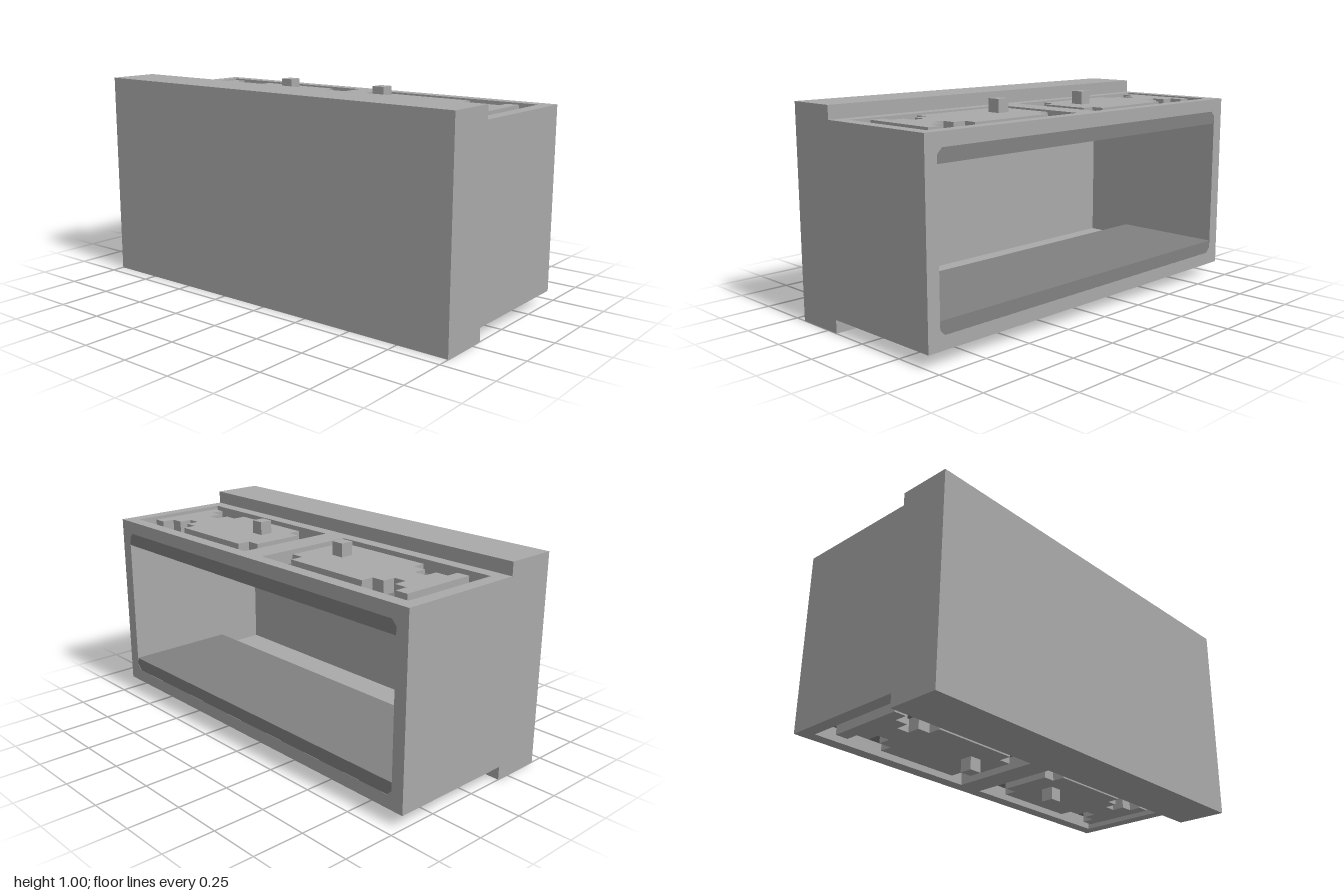
import * as THREE from 'three';

const U = 1 / 16; // everything is laid out on a 1/16 grid

export function createModel() {
  const model = new THREE.Group();
  const shellGrey = new THREE.MeshStandardMaterial({ name: 'shellGrey', color: 0xa9a9a9 });
  const darkGrey = new THREE.MeshStandardMaterial({ name: 'darkGrey', color: 0x818181 });

  const add = (name, geometry, material = shellGrey) => {
    geometry.scale(U, U, U);
    const mesh = new THREE.Mesh(geometry, material);
    mesh.name = name;
    model.add(mesh);
  };
  const box = (name, x0, x1, y0, y1, z0, z1, material) => {
    const g = new THREE.BoxGeometry(x1 - x0, y1 - y0, z1 - z0);
    g.translate((x0 + x1) / 2, (y0 + y1) / 2, (z0 + z1) / 2);
    add(name, g, material);
  };
  const outline = (points, Type = THREE.Shape) => new Type(points.map(([x, y]) => new THREE.Vector2(x, y)));
  const rect = (x0, x1, y0, y1) => [[x0, y0], [x1, y0], [x1, y1], [x0, y1]];
  // Slab one unit thick from an x-z outline, with its upper face at the given height
  const slab = (name, shape, top) => {
    const g = new THREE.ExtrudeGeometry(shape, { depth: 1, bevelEnabled: false });
    g.rotateX(Math.PI / 2).translate(0, top, 0);
    add(name, g);
  };

  const back = -6.95;

  // Thin frame around the rear opening, with clipped inner corners
  const c = 0.4;
  const frame = outline(rect(-16, 16, 1, 15));
  frame.holes.push(outline([
    [-15 + c, 2], [15 - c, 2], [15, 2 + c], [15, 14 - c],
    [15 - c, 14], [-15 + c, 14], [-15, 14 - c], [-15, 2 + c],
  ], THREE.Path));
  const frameGeometry = new THREE.ExtrudeGeometry(frame, { depth: 0.05, bevelEnabled: false });
  frameGeometry.translate(0, 0, -7);
  add('rearFrame', frameGeometry);

  // Front block: solid panel with a hollow behind it
  box('frontPanel', -16, 16, 0, 16, 6, 7);
  box('frontBlockTop', -16, 16, 14, 16, 3, 6);
  box('frontBlockBottom', -16, 16, 0, 2, 3, 6);

  // Side walls
  box('leftWall', 15, 16, 2, 14, back, 6);
  box('rightWall', -16, -15, 2, 14, back, 6);

  // Half of the island outline; the other half mirrors about z = -2
  const half = [
    [2, -4], [3, -4], [3, -5], [10, -5], [10, -4], [11, -4], [11, -3],
    [12, -3], [12, -4], [13, -4], [13, -5], [14, -5],
  ];
  const island = [...half, ...half.map(([x, z]) => [x, -4 - z]).reverse()];

  // Top and bottom faces share the same layout
  for (const [label, slabTop, plateY, pegY] of [['top', 15, 13, 15], ['bottom', 2, 2, 0]]) {
    const rim = outline(rect(-16, 16, back, 3));
    for (const s of [-1, 1]) rim.holes.push(outline(rect(s * 8 - 7, s * 8 + 7, -6, 2), THREE.Path));
    slab(label + 'Rim', rim, slabTop);
    box(label + 'InnerPlate', -15, 15, plateY, plateY + 1, -6.99, 2, darkGrey);
    for (const s of [-1, 1]) {
      const side = s > 0 ? 'Left' : 'Right';
      slab(label + side + 'RaisedPanel', outline(island.map(([x, z]) => [s * x, z])), slabTop);
      box(label + side + 'Peg', s * 4.5 - 0.5, s * 4.5 + 0.5, pegY, pegY + 1, -2, -1);
    }
  }
  return model;
}
